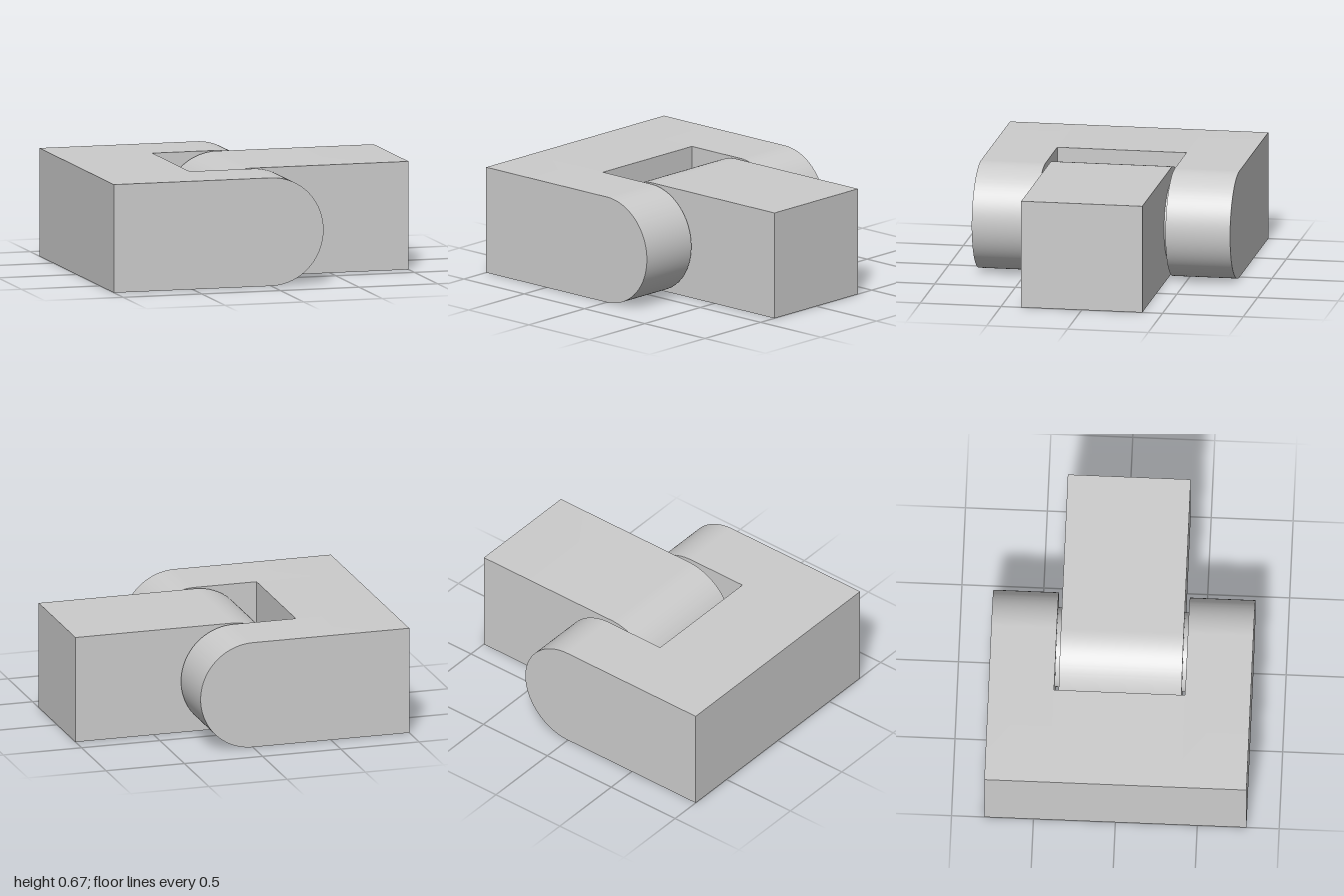
import * as THREE from 'three';
import { toCreasedNormals } from 'three/addons/utils/BufferGeometryUtils.js';

const R = 1 / 3;         // half the bar height, also the knuckle radius
const PIN_R = 0.243;
const TONGUE = 0.375;    // half width of the tongue
const SLOT = 0.4;        // half width of the fork slot
const WIDTH = 0.8;       // half width of the fork

const material = new THREE.MeshStandardMaterial({ color: 0xcccccc });

// Bar with a square end at x = -1 and a half-round end about x = 0
function roundedBar(depth) {
  const shape = new THREE.Shape();
  shape.moveTo(-1, -R);
  shape.lineTo(0, -R);
  shape.absarc(0, 0, R, -Math.PI / 2, Math.PI / 2, false);
  shape.lineTo(-1, R);
  shape.closePath();
  const geometry = new THREE.ExtrudeGeometry(shape, { depth, bevelEnabled: false, curveSegments: 48 });
  geometry.translate(0, 0, -depth / 2);
  return toCreasedNormals(geometry, 0.5);
}

export function createModel() {
  const model = new THREE.Group();
  model.name = 'hingeJoint';

  function add(parent, name, geometry, x, z) {
    const mesh = new THREE.Mesh(geometry, material);
    mesh.name = name;
    mesh.position.set(x, R, z);
    parent.add(mesh);
    return mesh;
  }

  // Fork: a cross web joining two round-ended arms
  const fork = new THREE.Group();
  fork.name = 'fork';
  model.add(fork);
  add(fork, 'forkWeb', new THREE.BoxGeometry(1 - SLOT, 2 * R, 2 * SLOT), -(1 + SLOT) / 2, 0);
  const armGeometry = roundedBar(WIDTH - SLOT);

  // Pin collars bridge the gaps between arms and tongue
  const collarGeometry = new THREE.CylinderGeometry(PIN_R, PIN_R, SLOT - TONGUE, 64, 1, true);
  collarGeometry.rotateX(Math.PI / 2);

  for (const side of [1, -1]) {
    const label = side > 0 ? 'front' : 'back';
    add(fork, label + 'Arm', armGeometry, 0, side * (SLOT + WIDTH) / 2);
    add(model, label + 'PinCollar', collarGeometry, 0, side * (SLOT + TONGUE) / 2);
  }

  // Tongue: the same bar turned round, seated between the arms
  add(model, 'tongue', roundedBar(2 * TONGUE), 0, 0).rotation.y = Math.PI;

  return model;
}
